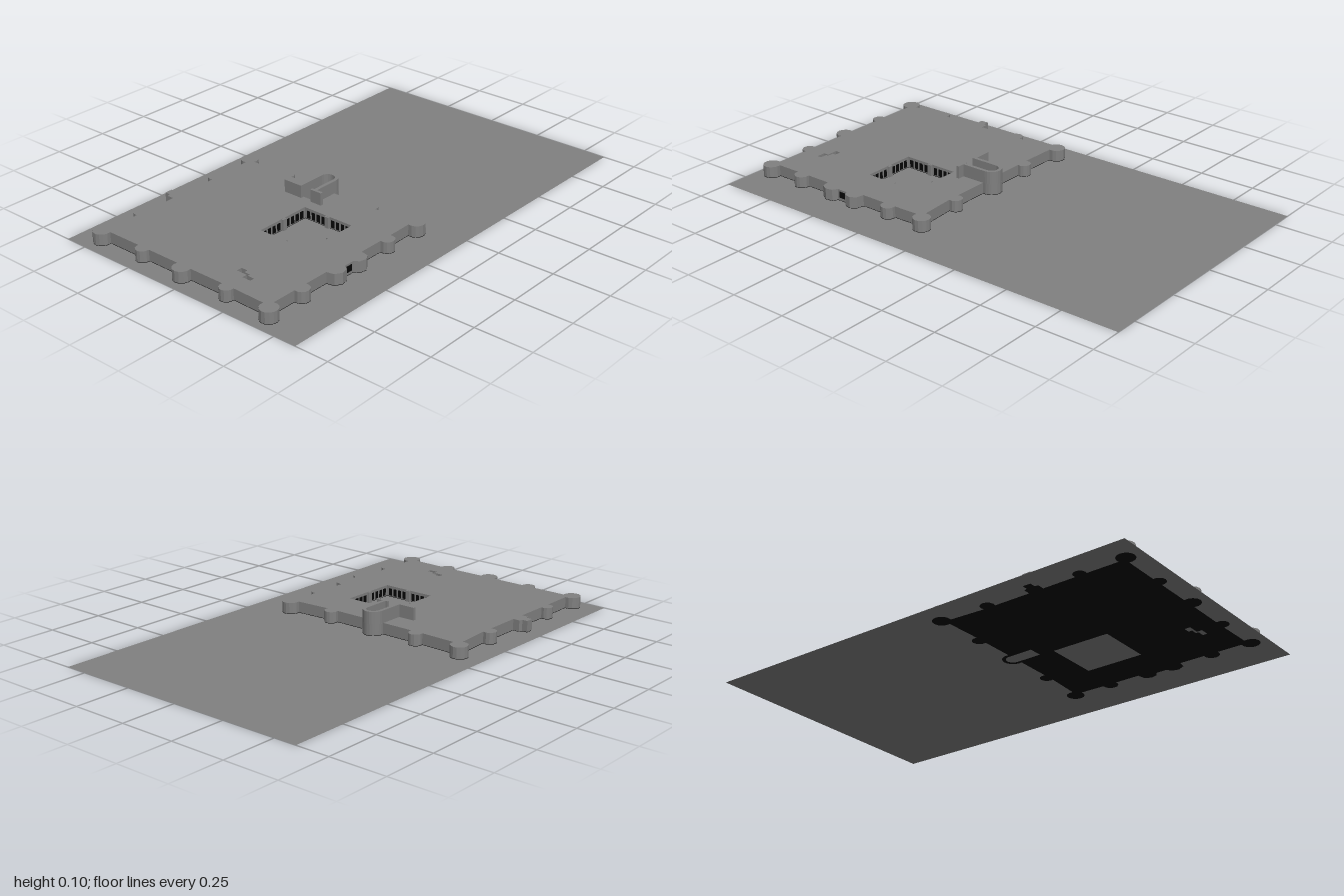
import * as THREE from 'three';

const H = 0.05;      // main roof height
const TOP = 0.105;   // chapel wall height
const rad = Math.PI / 180;

// Points of a round tower, swept around its outward direction (degrees)
function tower(x, z, r, out, half, n = 8) {
  const pts = [];
  for (let i = 0; i <= n; i++) {
    const a = (out - half + (2 * half * i) / n) * rad;
    pts.push([x + r * Math.cos(a), z + r * Math.sin(a)]);
  }
  return pts;
}
const vecs = (pts) => pts.map(([x, z]) => new THREE.Vector2(x, -z));
const rect = (x0, z0, x1, z1) => [[x0, z0], [x1, z0], [x1, z1], [x0, z1]];

function plan(outline, holes = []) {
  const shape = new THREE.Shape(vecs(outline));
  holes.forEach((h) => shape.holes.push(new THREE.Path(vecs(h))));
  return shape;
}

export function createModel() {
  const stone = new THREE.MeshStandardMaterial({ name: 'grey stone', color: 0x808080, side: THREE.DoubleSide });
  const dark = new THREE.MeshStandardMaterial({ name: 'dark opening', color: 0x060606, side: THREE.DoubleSide });
  const group = new THREE.Group();
  group.name = 'fortress';

  const add = (name, geo, mat = stone) => {
    const mesh = new THREE.Mesh(geo, mat);
    mesh.name = name;
    group.add(mesh);
    return mesh;
  };
  const flat = (name, shape, y, mat) =>
    add(name, new THREE.ShapeGeometry(shape).rotateX(-Math.PI / 2).translate(0, y, 0), mat);
  const raise = (name, shape, y0, y1) =>
    add(name, new THREE.ExtrudeGeometry(shape, { depth: y1 - y0, bevelEnabled: false })
      .rotateX(-Math.PI / 2).translate(0, y0, 0));
  const box = (name, x, y, z, w, h, d, mat) =>
    add(name, new THREE.BoxGeometry(w, h, d).translate(x, y, z), mat);

  // Outer wall line, clockwise from the north-west corner
  const outline = [
    ...tower(-0.925, -0.48, 0.038, 225, 150, 12),
    ...tower(-0.725, -0.48, 0.027, 270, 110),
    [-0.555, -0.47], [-0.555, -0.5], [-0.54, -0.505], [-0.54, -0.53],
    [-0.505, -0.53], [-0.505, -0.505], [-0.49, -0.5], [-0.49, -0.47],
    ...tower(-0.303, -0.483, 0.03, 270, 115),
    ...tower(-0.085, -0.49, 0.038, 315, 150, 12),
    ...tower(-0.09, -0.265, 0.03, 0, 109),
    ...tower(-0.09, -0.045, 0.045, 0, 103, 12),
    ...tower(-0.09, 0.187, 0.03, 0, 109),
    ...tower(-0.08, 0.408, 0.038, 45, 150, 12),
    ...tower(-0.26, 0.408, 0.032, 90, 104),
    [-0.403, 0.4], [-0.41, 0.434], [-0.435, 0.45], [-0.465, 0.443], [-0.478, 0.422],
    [-0.527, 0.422], [-0.54, 0.443], [-0.57, 0.45], [-0.6, 0.434], [-0.607, 0.4],
    ...tower(-0.75, 0.408, 0.033, 90, 104),
    ...tower(-0.928, 0.41, 0.038, 135, 150, 12),
    ...tower(-0.922, 0.193, 0.03, 180, 104),
    ...tower(-0.927, -0.035, 0.038, 180, 108),
    ...tower(-0.92, -0.255, 0.03, 180, 100),
  ];
  const yard = rect(-0.525, -0.01, -0.268, 0.234);
  const stairWell = [[-0.835, 0.19], [-0.812, 0.19], [-0.812, 0.14], [-0.787, 0.14],
    [-0.787, 0.17], [-0.803, 0.17], [-0.803, 0.198], [-0.815, 0.198], [-0.815, 0.23], [-0.835, 0.23]];
  const nave = [[-0.203, -0.075], ...tower(-0.09, -0.045, 0.03, 0, 90, 10), [-0.203, -0.015]];

  // Ground with the building footprint left out, and floors of the open spaces
  flat('ground', plan(rect(-1, -0.6, 1, 0.6), [outline]), 0);
  flat('courtyardFloor', plan(yard), 0);
  flat('chapelFloor', plan(nave), 0);
  flat('stairFloor', plan(stairWell), 0);
  flat('underside', plan(outline, [yard, nave, stairWell]), 0, dark);

  // Main storey
  raise('mainStorey', plan(outline, [yard, nave, stairWell]), 0.002, H);

  // Chapel: U-shaped wall with rounded end, and the cross wall beside it
  raise('chapelWall', plan([
    [-0.205, -0.09], ...tower(-0.09, -0.045, 0.045, 0, 90, 12), [-0.205, 0],
    [-0.205, -0.015], ...tower(-0.09, -0.045, 0.03, 0, 90, 10).reverse(), [-0.205, -0.075],
  ]), H, TOP);
  raise('crossWallNorth', plan(rect(-0.218, -0.165, -0.205, -0.075)), H, TOP);
  raise('crossWallSouth', plan(rect(-0.218, -0.025, -0.205, 0.03)), H, TOP);

  // Courtyard arcade openings and a small pier midway along each side
  const cx = -0.3965, cz = 0.112, hw = 0.1285, hd = 0.122;
  for (const s of [-1, 1]) {
    for (let i = -4; i <= 4; i++) {
      if (i === 0) continue;
      box('arcadeOpening', cx + i * 0.027, 0.022, cz + s * hd, 0.017, 0.032, 0.003, dark);
      box('arcadeOpening', cx + s * hw, 0.022, cz + i * 0.0255, 0.003, 0.032, 0.016, dark);
    }
    box('courtyardPier', cx, H / 2, cz + s * hd, 0.02, H - 0.001, 0.02);
    box('courtyardPier', cx + s * hw, H / 2, cz, 0.02, H - 0.001, 0.02);
  }

  // Gate between the two front towers
  box('gateOpening', -0.502, 0.028, 0.422, 0.03, 0.027, 0.004, dark);

  return group;
}
